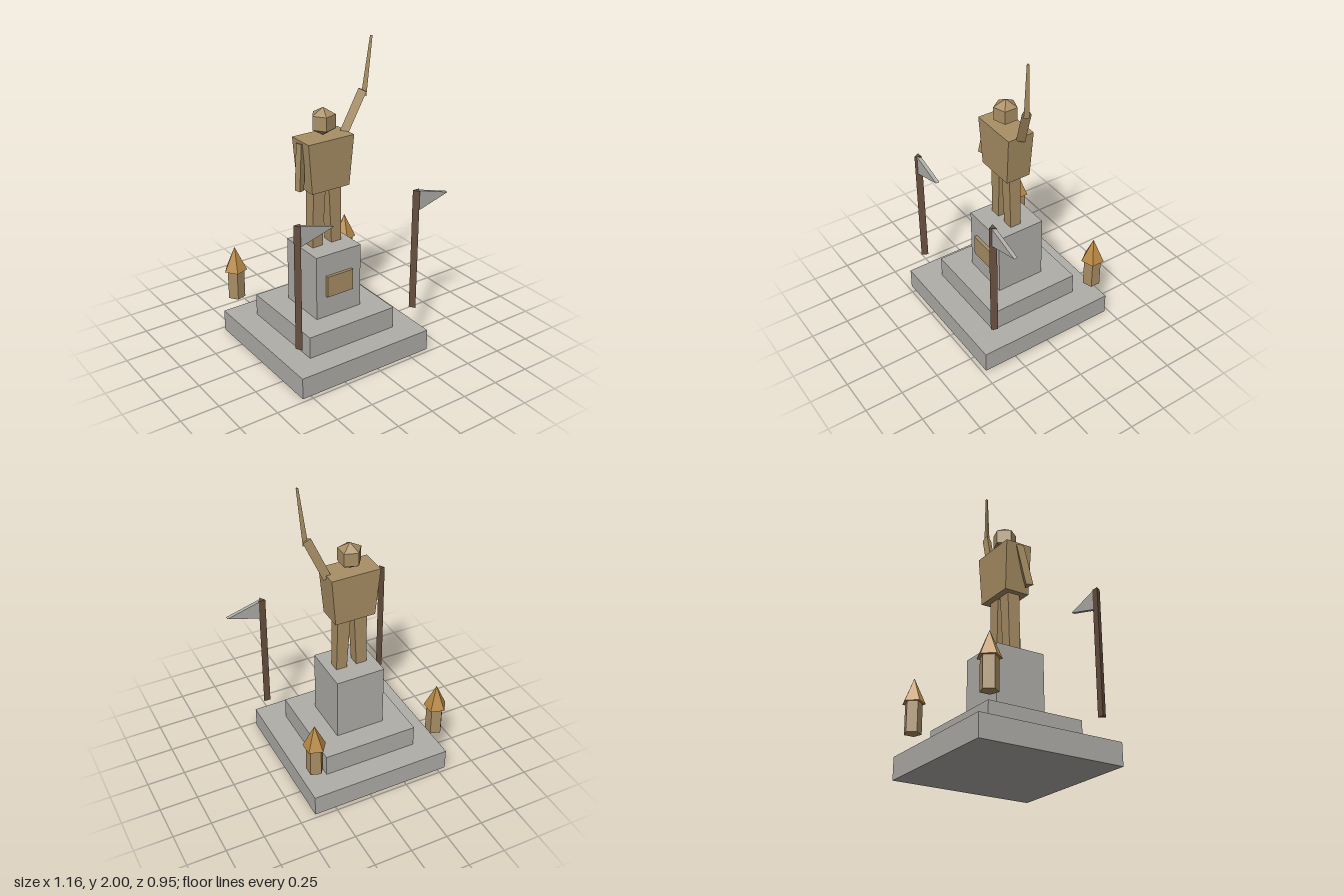
import * as THREE from 'three';

const mat = (name, color) => Object.assign(new THREE.MeshStandardMaterial({ color, flatShading: true }), { name });

export function createModel() {
  const stone = mat('grey stone', 0xb0aea9);
  const bronze = mat('bronze', 0xa98f65);
  const wood = mat('dark wood', 0x66503f);
  const gold = mat('golden roof', 0xb98a45);

  const model = new THREE.Group();
  model.name = 'statueMonument';
  // The monument's axis sits slightly off the overall centre
  const root = new THREE.Group();
  root.name = 'monument';
  root.position.x = -0.083;
  model.add(root);

  const add = (name, geometry, material, x = 0, y = 0, z = 0) => {
    const mesh = new THREE.Mesh(geometry, material);
    mesh.name = name;
    mesh.position.set(x, y, z);
    root.add(mesh);
    return mesh;
  };

  // Box between two heights
  const block = (name, w, d, y0, y1, material, z = 0) =>
    add(name, new THREE.BoxGeometry(w, y1 - y0, d), material, 0, (y0 + y1) / 2, z);

  // Box whose top and bottom are [centre x, width, depth]
  const taperedBlock = (name, bottom, top, y0, y1, material) => {
    const g = new THREE.BoxGeometry(1, y1 - y0, 1);
    const p = g.attributes.position;
    for (let i = 0; i < p.count; i++) {
      const [cx, w, d] = p.getY(i) > 0 ? top : bottom;
      p.setX(i, cx + p.getX(i) * w);
      p.setZ(i, p.getZ(i) * d);
    }
    g.computeVertexNormals();
    return add(name, g, material, 0, (y0 + y1) / 2);
  };

  // Three-sided rod from a to b
  const rod = (name, a, b, r0, r1, material) => {
    const from = new THREE.Vector3(...a), to = new THREE.Vector3(...b);
    const dir = to.clone().sub(from);
    const mesh = add(name, new THREE.CylinderGeometry(r1, r0, dir.length(), 3), material);
    mesh.position.copy(from).add(to).multiplyScalar(0.5);
    mesh.quaternion.setFromUnitVectors(new THREE.Vector3(0, 1, 0), dir.normalize());
    return mesh;
  };

  // Stepped base, pedestal and plaque
  block('basePlinth', 0.948, 0.948, 0, 0.142, stone);
  block('upperStep', 0.634, 0.634, 0.142, 0.287, stone);
  block('pedestal', 0.33, 0.33, 0.287, 0.716, stone);
  block('plaque', 0.192, 0.03, 0.432, 0.573, bronze, 0.17);

  // Figure
  for (const [side, s] of [['right', -1], ['left', 1]]) {
    taperedBlock(side + 'Leg', [s * 0.07, 0.073, 0.074], [s * 0.056, 0.088, 0.084], 0.716, 1.1, bronze);
  }
  taperedBlock('torso', [0, 0.27, 0.166], [0, 0.326, 0.18], 1.1, 1.423, bronze);
  add('head', new THREE.SphereGeometry(0.0875, 5, 3), bronze, 0, 1.515, 0);
  rod('rightArm', [-0.158, 1.405, 0], [-0.198, 1.125, 0.04], 0.032, 0.032, bronze);
  rod('raisedLeftArm', [0.155, 1.403, 0], [0.267, 1.667, 0.036], 0.032, 0.032, bronze);
  rod('sword', [0.272, 1.635, 0.04], [0.306, 2, 0.057], 0.02, 0.009, bronze);

  // Pennant shape
  const pennant = new THREE.Shape([
    new THREE.Vector2(0, 0.068), new THREE.Vector2(0, -0.068), new THREE.Vector2(0.235, 0),
  ]);
  const pennantGeometry = new THREE.ExtrudeGeometry(pennant, { depth: 0.024, bevelEnabled: false });

  for (const [side, s] of [['right', -1], ['left', 1]]) {
    const x = s * 0.427;
    // Flagpole at the front corner
    rod(side + 'Flagpole', [x, 0.287, 0.378], [x, 1.097, 0.378], 0.026, 0.026, wood);
    add(side + 'Flag', pennantGeometry, stone, x, 1.029, 0.366);
    // Roofed lantern post at the back corner
    add(side + 'LanternPost', new THREE.CylinderGeometry(0.056, 0.056, 0.194, 5), bronze, x, 0.384, -0.38)
      .rotation.y = -Math.PI / 2;
    add(side + 'LanternRoof', new THREE.ConeGeometry(0.075, 0.16, 5), gold, x, 0.561, -0.38)
      .rotation.y = -Math.PI / 2;
  }

  return model;
}
